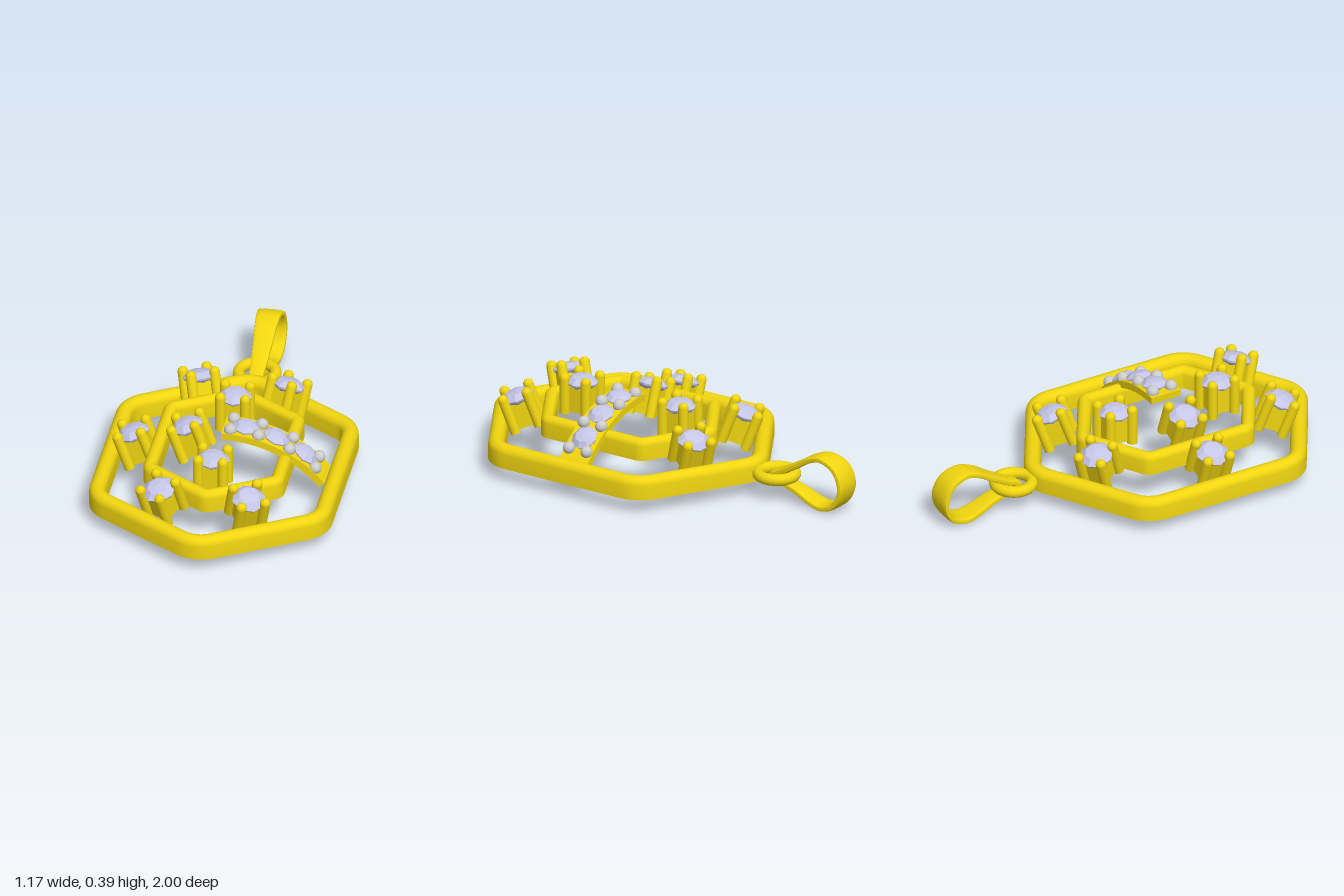
import * as THREE from 'three';
import { toCreasedNormals } from 'three/addons/utils/BufferGeometryUtils.js';

const gold = new THREE.MeshStandardMaterial({ color: 0xf0d510 });
const stone = new THREE.MeshStandardMaterial({ color: 0xc6c6e8, flatShading: true });
const grey = new THREE.MeshStandardMaterial({ color: 0xcccccc });

function add(parent, name, geometry, material, x = 0, y = 0, z = 0) {
  const mesh = new THREE.Mesh(geometry, material);
  mesh.name = name;
  mesh.position.set(x, y, z);
  parent.add(mesh);
  return mesh;
}

// Skin a closed series of closed cross-sections, facing outward
function skin(rings) {
  const n = rings.length, m = rings[0].length;
  const pts = rings.flat(), index = [];
  for (let i = 0; i < n; i++) for (let j = 0; j < m; j++) {
    const a = i * m + j, b = i * m + (j + 1) % m;
    const c = ((i + 1) % n) * m + j, d = ((i + 1) % n) * m + (j + 1) % m;
    index.push(a, b, d, a, d, c);
  }
  let volume = 0;
  const cross = new THREE.Vector3();
  for (let k = 0; k < index.length; k += 3) {
    volume += pts[index[k]].dot(cross.crossVectors(pts[index[k + 1]], pts[index[k + 2]]));
  }
  if (volume < 0) index.reverse();
  const g = new THREE.BufferGeometry().setFromPoints(pts);
  g.setIndex(index);
  return toCreasedNormals(g, 0.6);
}

// Rounded hexagon rim: domed on top, channelled underneath
function hexFrame({ cornerX, cornerZ, apexZ, radius, width, y0, y1, wall }) {
  const h = width / 2, profile = [[0, y0]];
  for (let i = 0; i <= 10; i++) {
    const a = Math.PI * i / 10;
    profile.push([h - h * Math.cos(a), y1 - h + h * Math.sin(a)]);
  }
  const roof = y1 - h;
  profile.push([width, y0], [width - wall, y0], [width - wall, roof], [wall, roof], [wall, y0]);

  const tilt = Math.atan2(apexZ - cornerZ, cornerX);
  const slant = Math.PI / 2 - tilt;
  const corners = [
    [cornerX, cornerZ, 0, slant], [0, apexZ, slant, Math.PI - slant],
    [-cornerX, cornerZ, Math.PI - slant, Math.PI],
    [-cornerX, -cornerZ, Math.PI, Math.PI + slant],
    [0, -apexZ, Math.PI + slant, 2 * Math.PI - slant],
    [cornerX, -cornerZ, 2 * Math.PI - slant, 2 * Math.PI],
  ];
  const rings = [];
  for (const [cx, cz, from, to] of corners) for (let i = 0; i <= 6; i++) {
    const a = from + (to - from) * i / 6;
    rings.push(profile.map(([d, y]) => new THREE.Vector3(
      cx + (radius - d) * Math.cos(a), y, 0.25 + cz + (radius - d) * Math.sin(a))));
  }
  return skin(rings);
}

// Teardrop hanging loop, widening toward its far end
function bailGeometry() {
  const path = new THREE.CatmullRomCurve3([
    [-0.565, 0.115], [-0.62, 0.14], [-0.72, 0.195], [-0.8, 0.243], [-0.87, 0.26],
    [-0.95, 0.225], [-0.985, 0.14], [-0.95, 0.05], [-0.87, 0.015], [-0.8, 0.03],
    [-0.72, 0.065], [-0.62, 0.095],
  ].map(([z, y]) => new THREE.Vector3(0, y, z)), true);
  const rings = [];
  for (let i = 0; i < 64; i++) {
    const p = path.getPointAt(i / 64), t = path.getTangentAt(i / 64);
    const half = THREE.MathUtils.mapLinear(p.z, -0.56, -1, 0.034, 0.07);
    const ring = [];
    for (let j = 0; j < 16; j++) {
      const a = 2 * Math.PI * j / 16, c = Math.cos(a), s = Math.sin(a);
      const u = half * Math.sign(c) * Math.sqrt(Math.abs(c));
      const v = 0.015 * Math.sign(s) * Math.sqrt(Math.abs(s));
      ring.push(new THREE.Vector3(u, p.y + t.z * v, p.z - t.y * v));
    }
    rings.push(ring);
  }
  return skin(rings);
}

// Faceted cut stone with its girdle at local y = 0
function gemGeometry(r) {
  const profile = [[0, -0.8], [0.95, -0.12], [1, 0], [0.62, 0.3], [0, 0.38]];
  return new THREE.LatheGeometry(profile.map(([x, y]) => new THREE.Vector2(x * r, y * r)), 8);
}

// Four-prong setting; origin at prong tips, leaning along the heading (x, z)
function prongSetting(name, x, y, z, headX = 0, headZ = 1, tilt = 0) {
  const g = new THREE.Group();
  g.name = name;
  g.position.set(x, y, z);
  g.rotation.set(tilt, Math.atan2(headX, headZ), 0, 'YXZ');
  const r = 0.025, length = 0.2;
  for (const sx of [-1, 1]) for (const sz of [-1, 1]) {
    add(g, 'prong', new THREE.CylinderGeometry(r, r, length - r, 16), gold,
      sx * 0.06, -(length + r) / 2, sz * 0.06);
    add(g, 'prongTip', new THREE.SphereGeometry(r, 16, 12), gold, sx * 0.06, -r, sz * 0.06);
  }
  const base = new THREE.Shape([[-1, -1], [1, -1], [1, 1], [-1, 1]]
    .map(([a, b]) => new THREE.Vector2(a * 0.055, b * 0.055)));
  base.holes.push(new THREE.Path().absarc(0, 0, 0.028, 0, Math.PI * 2, true));
  const cup = new THREE.ExtrudeGeometry(base, { depth: 0.125, bevelEnabled: false, curveSegments: 16 });
  cup.rotateX(-Math.PI / 2);
  add(g, 'basket', cup, gold, 0, -length + 0.01, 0);
  add(g, 'gem', gemGeometry(0.082), stone, 0, -0.045, 0);
  return g;
}

// Arched bar with three stones held between pairs of beads
function stoneBar() {
  const g = new THREE.Group();
  g.name = 'archedBar';
  const cx = 0.03, cy = -0.255, R = 0.61, inner = R - 0.035;
  const angleAt = x => Math.acos((x - cx) / R);
  const start = angleAt(0.5), end = angleAt(0);
  const shape = new THREE.Shape();
  shape.absarc(cx, cy, R, start, end, false);
  shape.absarc(cx, cy, inner, end, start, true);
  const band = new THREE.ExtrudeGeometry(shape, { depth: 0.16, bevelEnabled: false, curveSegments: 24 });
  add(g, 'band', toCreasedNormals(band, 0.6), gold, 0, 0, 0.17);
  const place = (name, x, z, lift, geometry, material) => {
    const a = angleAt(x - lift * (x - cx) / R);
    const mesh = add(g, name, geometry, material,
      cx + (R + lift) * Math.cos(a), cy + (R + lift) * Math.sin(a), z);
    mesh.rotation.z = a - Math.PI / 2;
  };
  for (const x of [0.04, 0.175, 0.325, 0.45]) for (const z of [0.2, 0.3]) {
    place('bead', x, z, 0.008, new THREE.SphereGeometry(0.03, 20, 14), grey);
  }
  for (const x of [0.108, 0.255, 0.395]) {
    place('barGem', x, 0.25, 0.008, gemGeometry(0.066), stone);
  }
  return g;
}

export function createModel() {
  const model = new THREE.Group();
  model.name = 'pendant';

  // Nested hexagonal rims
  add(model, 'outerFrame', hexFrame({
    cornerX: 0.405, cornerZ: 0.328, apexZ: 0.57, radius: 0.18, width: 0.08, y0: 0.07, y1: 0.18, wall: 0.02,
  }), gold);
  add(model, 'innerFrame', hexFrame({
    cornerX: 0.27, cornerZ: 0.248, apexZ: 0.41, radius: 0.07, width: 0.065, y0: 0.165, y1: 0.27, wall: 0.017,
  }), gold);

  // Link ring and bail
  const ring = new THREE.TorusGeometry(0.088, 0.028, 16, 48).rotateX(Math.PI / 2);
  add(model, 'linkRing', ring, gold, 0, 0.117, -0.585);
  add(model, 'bail', bailGeometry(), gold);

  // Upright settings, then those leaning outward
  const lean = 0.35;
  model.add(prongSetting('backSetting', 0, 0.385, -0.03));
  model.add(prongSetting('frontSetting', 0, 0.385, 0.53));
  model.add(prongSetting('innerSideSetting', -0.195, 0.372, 0.25, -1, 0, lean));
  model.add(prongSetting('outerSideSetting', -0.455, 0.302, 0.25, -1, 0, lean));
  for (const sx of [-1, 1]) for (const sz of [-1, 1]) {
    model.add(prongSetting('cornerSetting', sx * 0.225, 0.327, 0.25 + sz * 0.52, sx * 0.51, sz * 0.86, lean));
  }

  model.add(stoneBar());
  return model;
}
